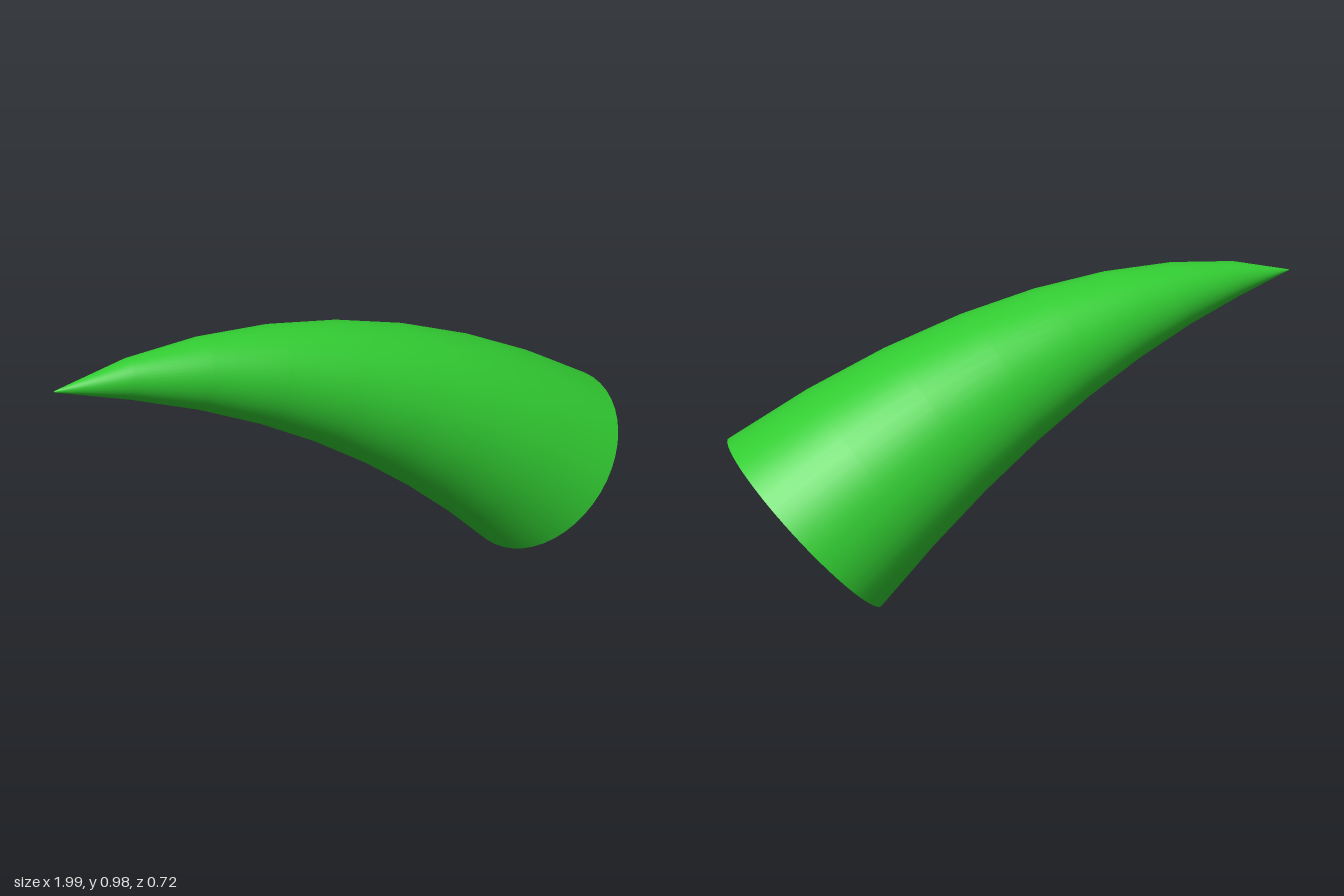
import * as THREE from 'three';
import { mergeVertices } from 'three/addons/utils/BufferGeometryUtils.js';

const BASE_RADIUS = 0.361;
const SIDES = 48;
const RINGS = 8;

export function createModel() {
  const group = new THREE.Group();
  group.name = 'horn';
  const material = new THREE.MeshStandardMaterial({ color: 0x32cd32 });

  // Centre line from the wide base to the tip
  const spine = new THREE.QuadraticBezierCurve3(
    new THREE.Vector3(0.78, 0.297, 0),
    new THREE.Vector3(-0.11, 0.932, 0),
    new THREE.Vector3(-0.997, 0.9, 0)
  );

  // Curved body: a tube bent along the spine with a slightly convex taper
  let body = new THREE.CylinderGeometry(1, 1, 1, SIDES, RINGS, true);
  const pos = body.attributes.position;
  for (let i = 0; i < pos.count; i++) {
    const s = THREE.MathUtils.clamp(pos.getY(i) + 0.5, 0, 1);
    const r = Math.max(0.002, BASE_RADIUS * Math.pow(1 - s, 0.85));
    const c = spine.getPoint(s);
    const t = spine.getTangent(s);
    const across = pos.getX(i) * r;
    pos.setXYZ(i, c.x + t.y * across, c.y - t.x * across, pos.getZ(i) * r);
  }
  body.deleteAttribute('uv');
  body.deleteAttribute('normal');
  body = mergeVertices(body, 1e-5);
  body.computeVertexNormals();
  const bodyMesh = new THREE.Mesh(body, material);
  bodyMesh.name = 'hornBody';
  group.add(bodyMesh);

  // Flat disc closing the wide end
  const t0 = spine.getTangent(0);
  const start = spine.getPoint(0);
  const cap = new THREE.CircleGeometry(BASE_RADIUS, SIDES);
  cap.rotateX(Math.PI / 2);
  cap.rotateZ(Math.atan2(-t0.x, t0.y));
  cap.translate(start.x, start.y, start.z);
  const capMesh = new THREE.Mesh(cap, material);
  capMesh.name = 'baseCap';
  group.add(capMesh);

  return group;
}
